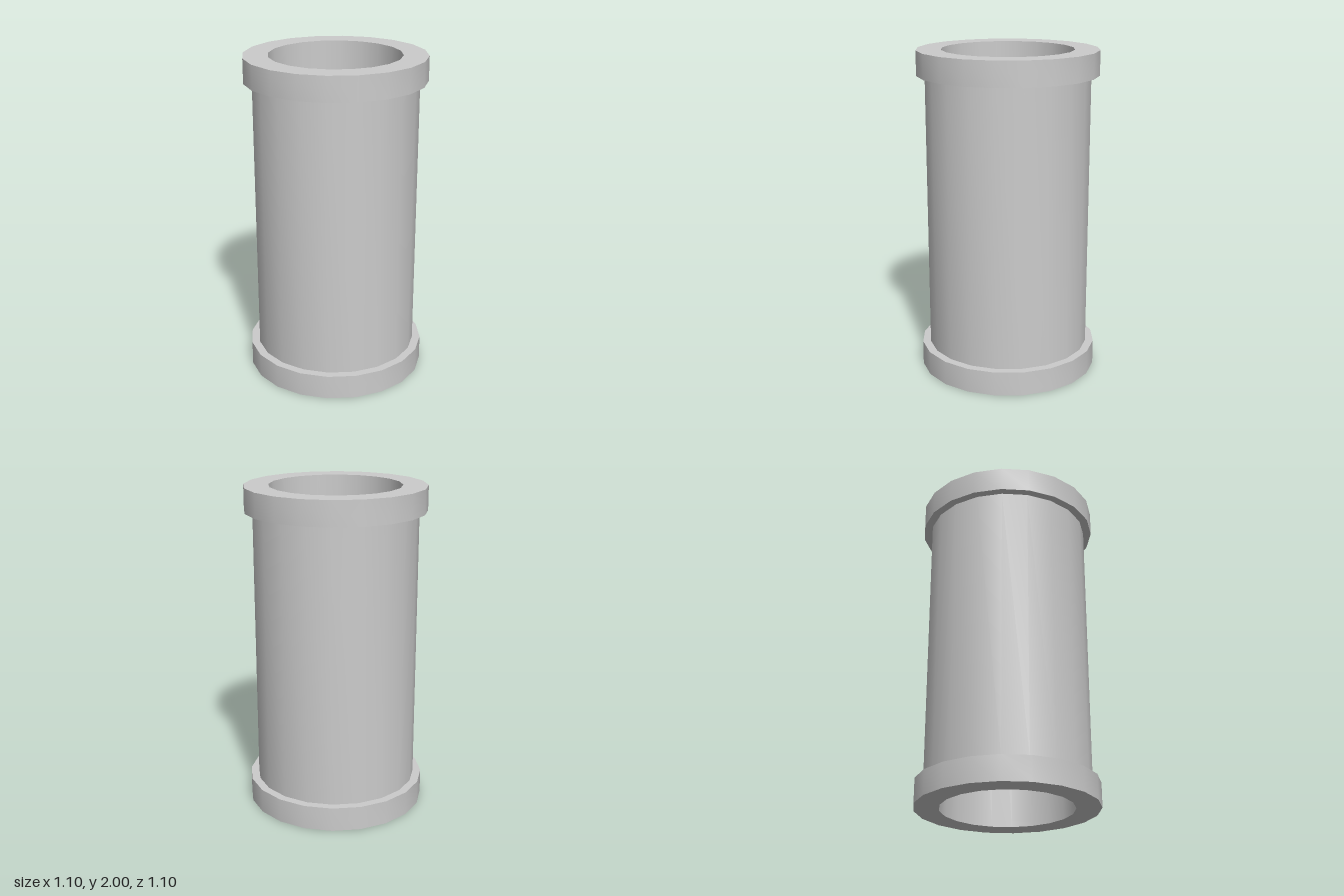
import * as THREE from 'three';
import { toCreasedNormals } from 'three/addons/utils/BufferGeometryUtils.js';

const SIDES = 20;
const HEIGHT = 2;
const RIM_HEIGHT = 0.15;
const BORE = 0.4, WALL = 0.5, RIM = 0.55; // radii

export function createModel() {
  const group = new THREE.Group();
  group.name = 'flangedPipe';
  const material = new THREE.MeshStandardMaterial({ color: 0xcccccc });

  // Spins a [radius, height] profile; going up faces outward, going down faces inward
  const addLathe = (name, profile) => {
    const points = profile.map(([r, y]) => new THREE.Vector2(r, y));
    const geometry = toCreasedNormals(new THREE.LatheGeometry(points, SIDES), Math.PI / 6);
    const mesh = new THREE.Mesh(geometry, material);
    mesh.name = name;
    group.add(mesh);
  };

  const rimBase = HEIGHT - RIM_HEIGHT;

  // Outer wall between the rims, and the bore running right through
  addLathe('outerWall', [[WALL, RIM_HEIGHT], [WALL, rimBase]]);
  addLathe('bore', [[BORE, HEIGHT], [BORE, 0]]);

  // Wider rims at both ends
  addLathe('bottomRim', [[BORE, 0], [RIM, 0], [RIM, RIM_HEIGHT], [WALL, RIM_HEIGHT]]);
  addLathe('topRim', [[WALL, rimBase], [RIM, rimBase], [RIM, HEIGHT], [BORE, HEIGHT]]);

  return group;
}
